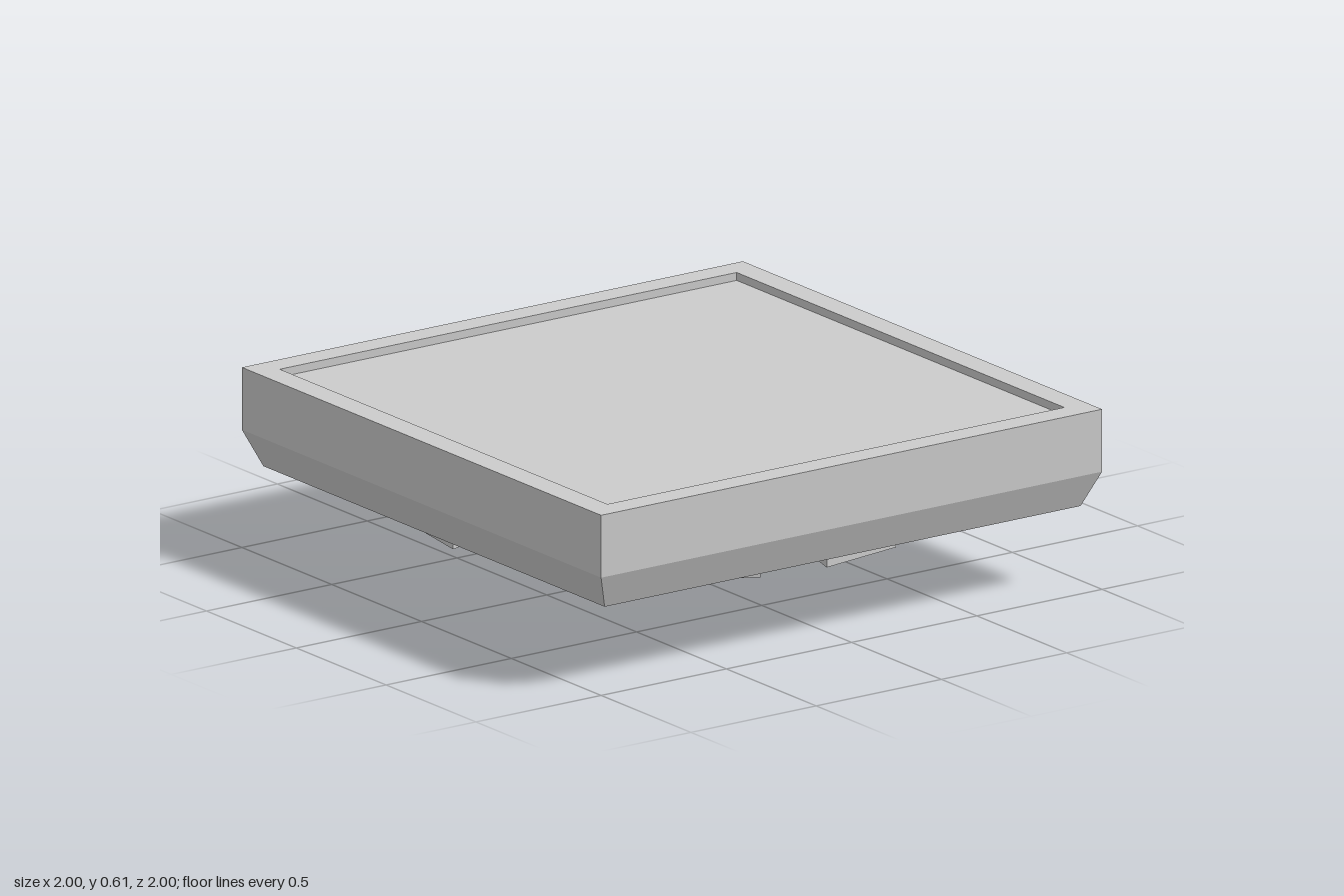
import * as THREE from 'three';

const material = new THREE.MeshStandardMaterial({ color: 0xcccccc, flatShading: true });
const rad = THREE.MathUtils.degToRad;

function add(parent, name, geometry) {
  const mesh = new THREE.Mesh(geometry, material);
  mesh.name = name;
  parent.add(mesh);
  return mesh;
}

// Gear outline: each tooth is centred on start + k * pitch (degrees)
function gearShape({ teeth, tip, root, start, tipHalf, rootHalf, hole }) {
  const shape = new THREE.Shape();
  const pitch = 360 / teeth;
  const polar = (r, deg) => new THREE.Vector2(r * Math.cos(rad(deg)), r * Math.sin(rad(deg)));
  const points = [];
  for (let k = 0; k < teeth; k++) {
    const a = start + k * pitch;
    points.push(polar(root, a - rootHalf), polar(tip, a - tipHalf), polar(tip, a + tipHalf), polar(root, a + rootHalf));
  }
  shape.setFromPoints(points);
  if (hole) shape.holes.push(new THREE.Path().absarc(0, 0, hole, 0, Math.PI * 2, true));
  return shape;
}

// Extrude a shape downwards from one height to another
function hang(shape, top, bottom) {
  const geometry = new THREE.ExtrudeGeometry(shape, { depth: top - bottom, bevelEnabled: false, curveSegments: 24 });
  return geometry.rotateX(Math.PI / 2).translate(0, top, 0);
}

export function createModel() {
  const group = new THREE.Group();

  // Square tray: chamfered underside, shallow recess above, deep recess below
  const profile = [
    [0, 0.4], [0.89, 0.4], [0.89, 0.28], [0.95, 0.28], [1, 0.4],
    [1, 0.612], [0.912, 0.612], [0.912, 0.585], [0, 0.585],
  ].map(([x, y]) => new THREE.Vector2(x * Math.SQRT2, y));
  add(group, 'squareSlab', new THREE.LatheGeometry(profile, 4, Math.PI / 4));

  // Nested horizontal gear rings
  const ring = { teeth: 10, start: 99, tipHalf: 10.2, rootHalf: 8.5 };
  add(group, 'outerGear', hang(gearShape({ ...ring, tip: 0.888, root: 0.79, hole: 0.6 }), 0.4, 0.23));
  add(group, 'innerGear', hang(gearShape({ ...ring, tip: 0.66, root: 0.54, hole: 0.4 }), 0.4, 0.19));

  // Recessed collar around the central opening
  const collar = new THREE.Shape().absarc(0, 0, 0.405, 0, Math.PI * 2, false);
  collar.holes.push(new THREE.Path().absarc(0, 0, 0.25, 0, Math.PI * 2, true));
  add(group, 'collar', hang(collar, 0.4, 0.225));

  // Two upright gears crossing at right angles
  const small = gearShape({ teeth: 9, tip: 0.241, root: 0.178, start: 20, tipHalf: 7.2, rootHalf: 10, hole: 0.14 });
  for (const [name, turn] of [['uprightGearAcross', 0], ['uprightGearAlong', -Math.PI / 2]]) {
    const gear = new THREE.Group();
    gear.name = name;
    const rim = new THREE.ExtrudeGeometry(small, { depth: 0.09, bevelEnabled: false, curveSegments: 16 });
    add(gear, 'toothedRim', rim.translate(0, 0, -0.045));
    add(gear, 'web', new THREE.CylinderGeometry(0.142, 0.142, 0.06, 32).rotateX(Math.PI / 2));
    gear.position.y = 0.241;
    gear.rotation.y = turn;
    group.add(gear);
  }
  return group;
}
